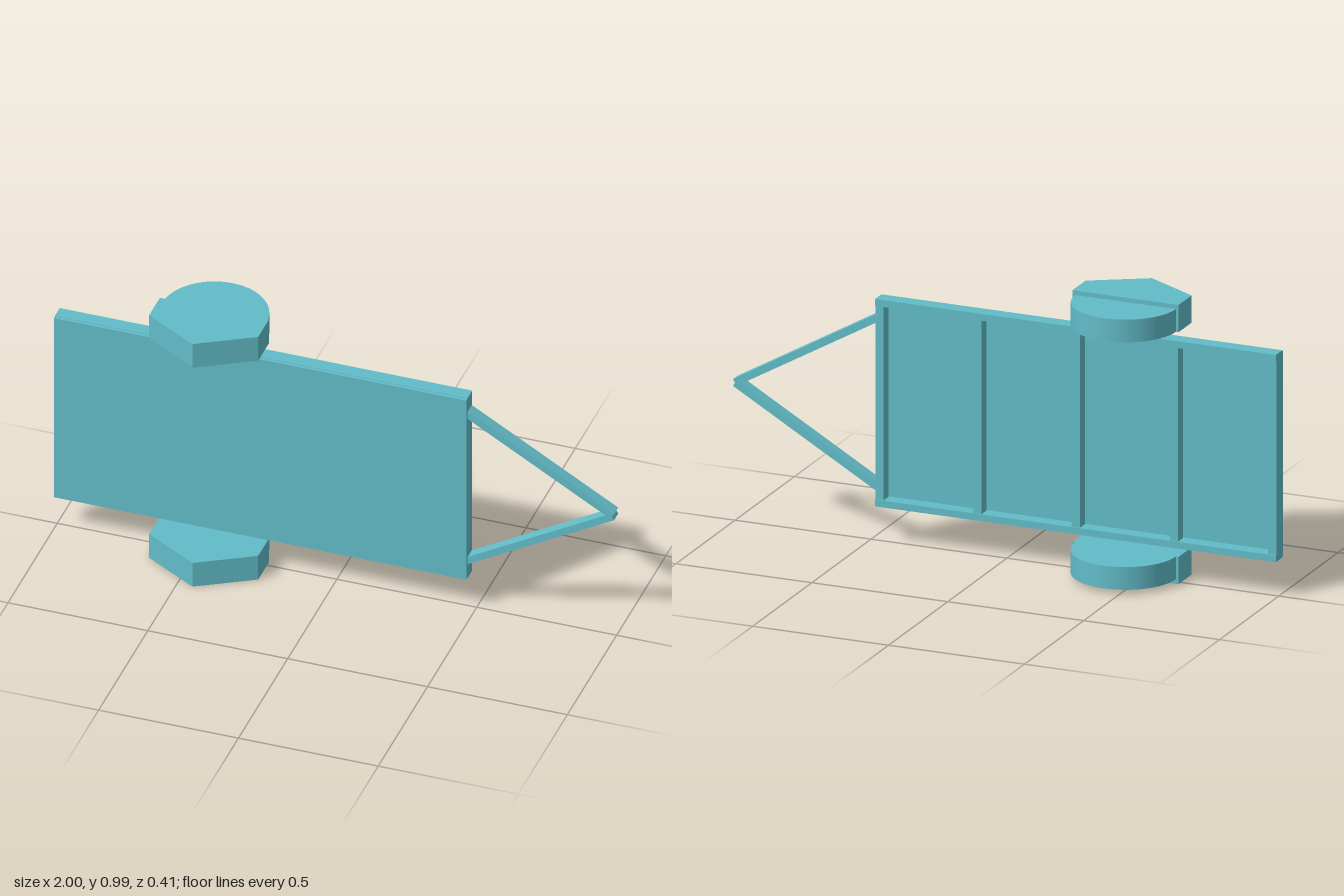
import * as THREE from 'three';

const teal = new THREE.MeshStandardMaterial({ color: 0x62bcc8, flatShading: true });
teal.name = 'teal';

const MID_Y = 0.497; // the trailer rests on its side, mirrored about this height

export function createModel() {
  const trailer = new THREE.Group();
  trailer.name = 'trailer';

  const add = (name, geometry, x = 0, y = 0, z = 0) => {
    const mesh = new THREE.Mesh(geometry, teal);
    mesh.name = name;
    mesh.position.set(x, y, z);
    trailer.add(mesh);
    return mesh;
  };
  const box = (name, x0, x1, y0, y1, z0, z1) => add(name,
    new THREE.BoxGeometry(x1 - x0, y1 - y0, z1 - z0),
    (x0 + x1) / 2, (y0 + y1) / 2, (z0 + z1) / 2);

  // Deck sheet
  box('deck', -1, 0.475, 0.13, 0.864, 0.025, 0.0355);

  // Long side rails
  box('lowerRail', -1, 0.475, 0.128, 0.152, -0.025, 0.025);
  box('upperRail', -1, 0.475, 0.842, 0.866, -0.025, 0.025);

  // Five evenly spaced cross beams, set just clear of the deck
  const beam = 0.03;
  for (let i = 0; i < 5; i++) {
    const x = -1 + (i * (1.475 - beam)) / 4;
    box('crossBeam', x, x + beam, 0.152, 0.842, -0.021, 0.021);
  }

  // A-frame drawbar meeting at the hitch
  for (const side of [-1, 1]) {
    const start = new THREE.Vector2(0.462, MID_Y + side * 0.305);
    const end = new THREE.Vector2(0.992, MID_Y + side * 0.001);
    const bar = add('drawbar',
      new THREE.BoxGeometry(start.distanceTo(end), 0.026, 0.042),
      (start.x + end.x) / 2, (start.y + end.y) / 2, 0);
    bar.rotation.z = Math.atan2(end.y - start.y, end.x - start.x);
  }

  // Angular mudguard profile, drawn with shape y = -z
  const wheelX = -0.445, axleZ = -0.02;
  const guard = new THREE.Shape([
    [-0.195, 0], [-0.195, -0.11], [0, -0.223], [0.195, -0.11], [0.195, 0],
  ].map(([x, y]) => new THREE.Vector2(x, y)));

  // Exposed half of the wheel behind the guard
  const wheel = new THREE.Shape();
  wheel.absarc(0, 0, 0.185, 0, Math.PI, false);
  wheel.closePath();

  // Extrudes a profile upward from y0 to y1
  const slab = (name, shape, y0, y1) => {
    const geometry = new THREE.ExtrudeGeometry(shape,
      { depth: y1 - y0, bevelEnabled: false, curveSegments: 32 });
    geometry.rotateX(-Math.PI / 2);
    add(name, geometry, wheelX, y0, axleZ);
  };
  slab('leftMudguard', guard, 0.897, 0.994);
  slab('leftWheel', wheel, 0.897, 0.978);
  slab('rightMudguard', guard, 0, 0.097);
  slab('rightWheel', wheel, 0.016, 0.097);

  return trailer;
}
